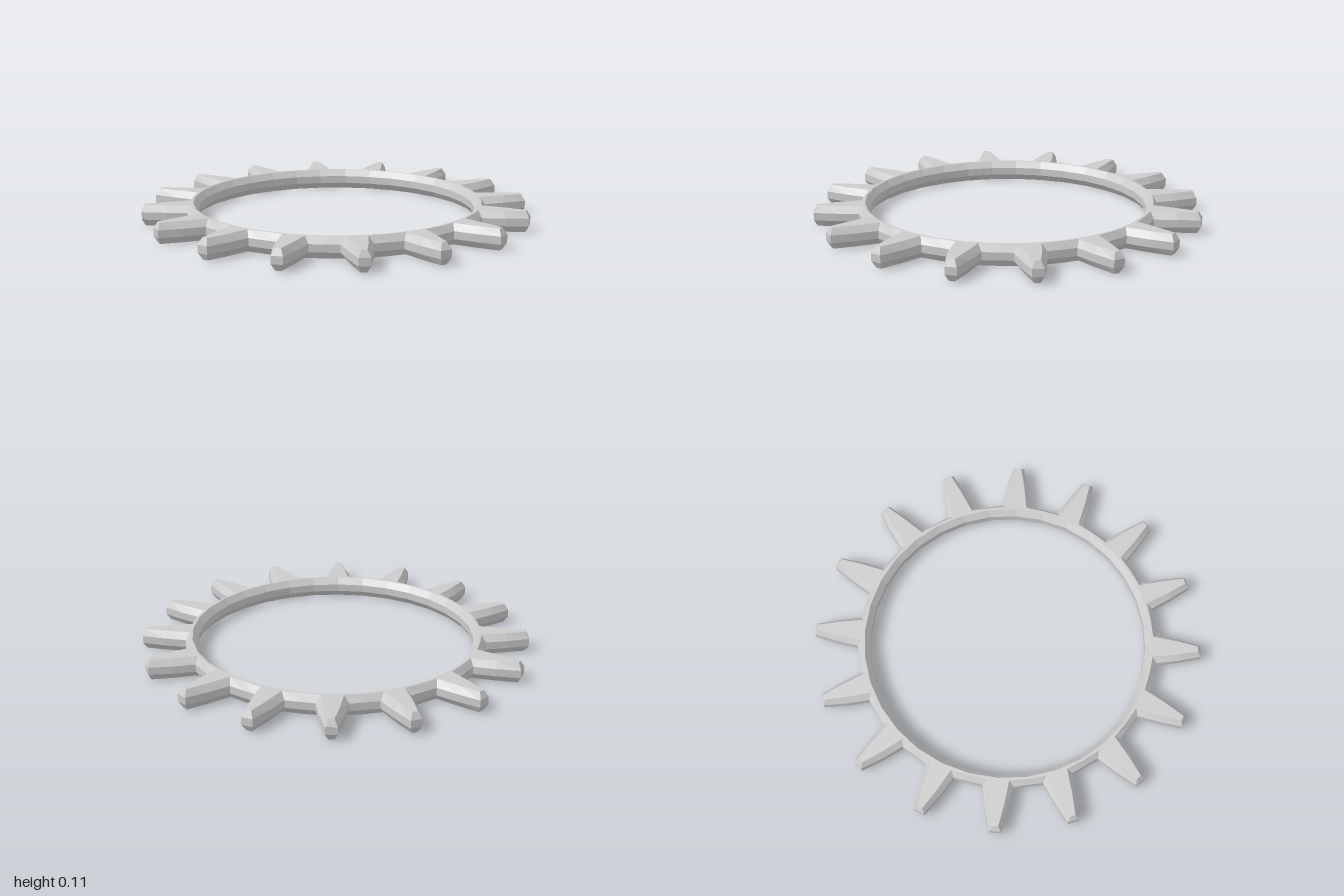
import * as THREE from 'three';

const TEETH = 16;
const STEP = (Math.PI * 2) / TEETH;
const HEIGHT = 0.107;
const BEVEL = 0.034;

// Half a tooth as [sideways, outward] points: tip centre, tip corner, flank, root
const WIDE = [[0, 1], [0.029, 1], [0.058, 0.885], [0.078, 0.772]];
const INSET = [[0, 0.982], [0.014, 0.982], [0.036, 0.875], [0.054, 0.75]];
// Angles on the bore that pair with the half-tooth points
const BORE_ANGLES = [0, 1.2, 2.5, 4.5].map(THREE.MathUtils.degToRad);

// Turn a half-tooth into one pitch: half tooth, gap middle, mirrored half of the next tooth
function pitch(half, gapRadius) {
  const polar = half.map(([s, r]) => [Math.atan2(s, r), Math.hypot(s, r)]);
  const mirrored = polar.slice(1).reverse().map(([a, r]) => [STEP - a, r]);
  return [...polar, [STEP / 2, gapRadius], ...mirrored];
}

// One pitch of the 32-sided bore
function borePitch(radius) {
  const n = STEP / 4;
  const half = BORE_ANGLES.map((a) => {
    const r = (radius * Math.cos(n)) / Math.cos(a - n);
    return [r * Math.sin(a), r * Math.cos(a)];
  });
  return pitch(half, radius);
}

function createGear() {
  const outer = pitch(WIDE, 0.772);
  const outerInset = pitch(INSET, 0.75);
  const inner = borePitch(0.713);
  const innerInset = borePitch(0.739);

  // Cross-section loops, from the top face round the outside, underneath and up the bore
  const loops = [
    [outerInset, HEIGHT], [outer, HEIGHT - BEVEL], [outer, BEVEL], [outerInset, 0],
    [innerInset, 0], [inner, BEVEL], [inner, HEIGHT - BEVEL], [innerInset, HEIGHT],
  ];
  const perLoop = TEETH * outer.length;
  const positions = [];
  for (const [points, y] of loops) {
    for (let t = 0; t < TEETH; t++) {
      for (const [a, r] of points) {
        positions.push(r * Math.sin(a + t * STEP), y, r * Math.cos(a + t * STEP));
      }
    }
  }

  // Join neighbouring loops with quads
  const index = [];
  for (let k = 0; k < loops.length; k++) {
    const k2 = (k + 1) % loops.length;
    for (let j = 0; j < perLoop; j++) {
      const j2 = (j + 1) % perLoop;
      const a = k * perLoop + j, b = k2 * perLoop + j;
      const c = k2 * perLoop + j2, d = k * perLoop + j2;
      index.push(a, b, c, a, c, d);
    }
  }

  const geometry = new THREE.BufferGeometry();
  geometry.setAttribute('position', new THREE.Float32BufferAttribute(positions, 3));
  geometry.setIndex(index);
  const flat = geometry.toNonIndexed();
  flat.computeVertexNormals();
  return flat;
}

export function createModel() {
  const group = new THREE.Group();
  group.name = 'gearRing';
  const material = new THREE.MeshStandardMaterial({ color: 0xcccccc, flatShading: true });
  const gear = new THREE.Mesh(createGear(), material);
  gear.name = 'toothedRing';
  group.add(gear);
  return group;
}
